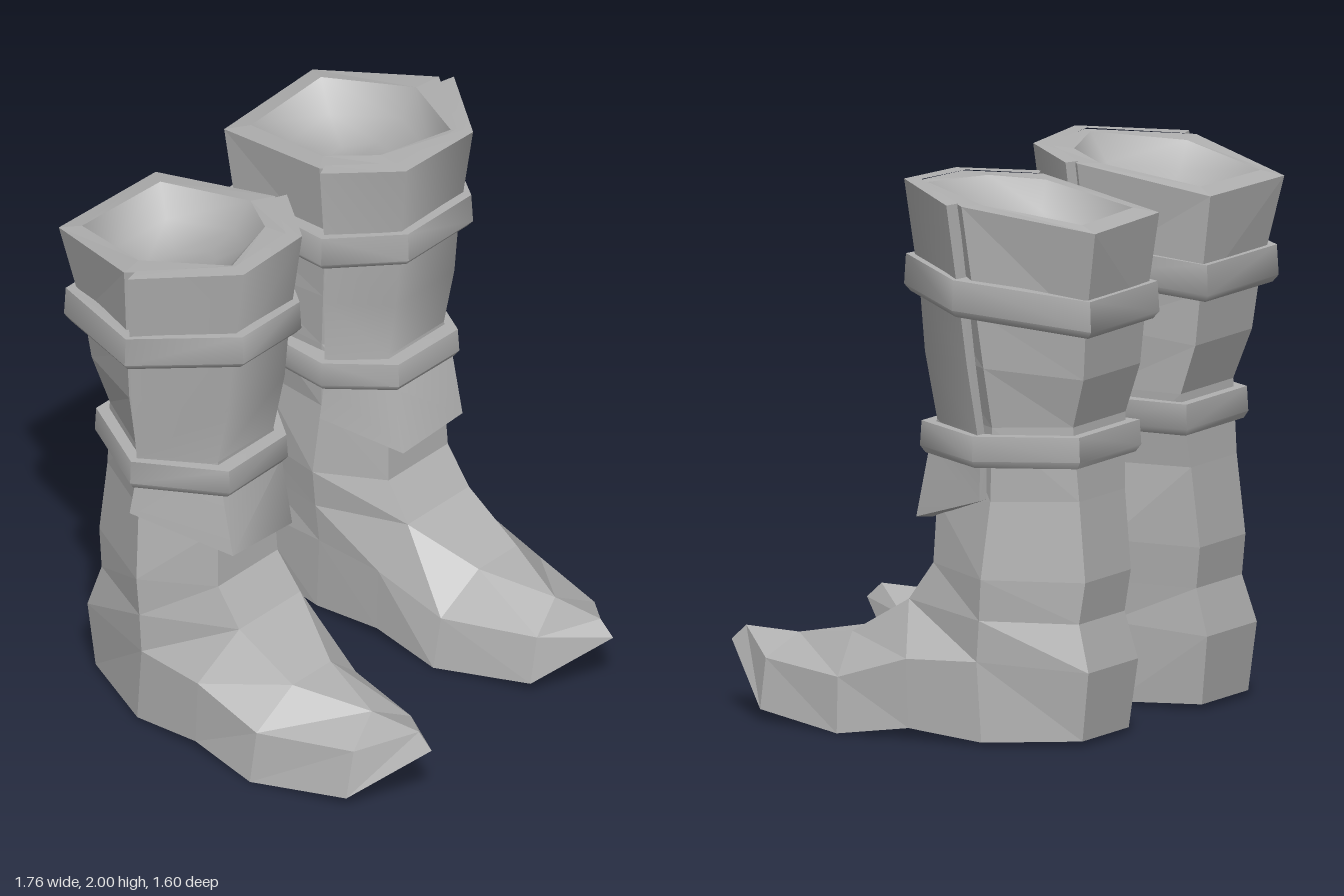
import * as THREE from 'three';
import { toCreasedNormals } from 'three/addons/utils/BufferGeometryUtils.js';

const leather = new THREE.MeshStandardMaterial({ color: 0xb0b0b0 });
leather.name = 'grey leather';

// Skin between successive rows of [x, y, z] points; crease 0 gives flat facets
function skin(grids, side, crease = 0) {
  const out = [];
  const tri = (a, b, c) => {
    const [A, B, C] = [a, b, c].map(p => new THREE.Vector3(p[0] * side, p[1], p[2]));
    if (B.clone().sub(A).cross(C.clone().sub(A)).length() < 1e-7) return;
    for (const p of side > 0 ? [A, B, C] : [A, C, B]) out.push(p.x, p.y, p.z);
  };
  for (const { rows, closed } of grids) {
    for (let i = 0; i + 1 < rows.length; i++) {
      const n = rows[i].length;
      for (let j = 0; j < (closed ? n : n - 1); j++) {
        const k = (j + 1) % n;
        const a = rows[i][j], b = rows[i][k], c = rows[i + 1][k], d = rows[i + 1][j];
        tri(a, d, c);
        tri(a, c, b);
      }
    }
  }
  const geo = new THREE.BufferGeometry();
  geo.setAttribute('position', new THREE.Float32BufferAttribute(out, 3));
  geo.computeVertexNormals();
  return crease ? toCreasedNormals(geo, crease) : geo;
}

const loop = (...rows) => ({ rows, closed: true });
const sheet = (...rows) => ({ rows, closed: false });

// Pull a ring towards the leg axis and shift it in height
const inset = (ring, s, dy = 0) =>
  ring.map(([x, y, z]) => [0.46 + (x - 0.46) * s, y + dy, -0.4 + (z + 0.4) * s]);

// --- Foot rings: back inner, back outer, round the toe, back along the inner side
const sole = [
  [0.265, 0.02, -0.7], [0.6, 0.02, -0.7], [0.75, 0.01, -0.37], [0.765, 0.04, -0.08],
  [0.79, 0, 0.2], [0.69, 0.04, 0.57], [0.49, 0.245, 0.8], [0.305, 0.04, 0.57],
  [0.2, 0, 0.2], [0.215, 0.04, -0.08], [0.22, 0.01, -0.37]];
const welt = [
  [0.25, 0.27, -0.73], [0.61, 0.27, -0.73], [0.75, 0.3, -0.35], [0.765, 0.29, -0.07],
  [0.765, 0.2, 0.21], [0.65, 0.22, 0.57], [0.49, 0.3, 0.74], [0.34, 0.22, 0.57],
  [0.23, 0.2, 0.21], [0.21, 0.29, -0.07], [0.21, 0.3, -0.35]];
const ridge = [0.495, 0.295, 0.52];
const instep = [
  [0.26, 0.44, -0.68], [0.59, 0.44, -0.68], [0.75, 0.45, -0.36], [0.62, 0.48, 0],
  [0.605, 0.34, 0.24], ridge, ridge, ridge, [0.4, 0.34, 0.24], [0.29, 0.48, 0], [0.2, 0.45, -0.36]];

// --- Leg rings: back inner, back outer, outer, front outer, front inner, inner
const leg = [
  [0, 1, 2, 3, 9, 10].map(i => instep[i]),
  [[0.25, 0.59, -0.7], [0.58, 0.59, -0.7], [0.755, 0.6, -0.37], [0.62, 0.62, -0.1], [0.3, 0.62, -0.1], [0.185, 0.6, -0.36]],
  [[0.24, 0.88, -0.67], [0.57, 0.88, -0.67], [0.72, 0.88, -0.39], [0.61, 0.85, -0.11], [0.31, 0.85, -0.11], [0.21, 0.88, -0.34]],
  [[0.2, 1.15, -0.65], [0.58, 1.15, -0.65], [0.725, 1.15, -0.4], [0.58, 1.15, -0.17], [0.33, 1.15, -0.17], [0.2, 1.15, -0.33]],
  [[0.2, 1.33, -0.71], [0.61, 1.33, -0.71], [0.77, 1.37, -0.39], [0.59, 1.38, -0.12], [0.32, 1.38, -0.12], [0.185, 1.37, -0.31]],
  [[0.2, 1.52, -0.73], [0.63, 1.52, -0.73], [0.8, 1.58, -0.375], [0.59, 1.59, -0.09], [0.32, 1.59, -0.09], [0.17, 1.58, -0.29]],
  [[0.185, 1.88, -0.78], [0.685, 1.88, -0.8], [0.85, 1.965, -0.345], [0.6, 1.995, -0.03], [0.3, 1.985, -0.04], [0.12, 1.965, -0.27]]];
const mouth = [[0.245, 1.9, -0.705], [0.645, 1.9, -0.725], [0.75, 1.96, -0.365],
  [0.59, 1.99, -0.06], [0.31, 1.98, -0.15], [0.195, 1.96, -0.32]];

// --- Front panel rows: outer, front outer, front inner, inner
const panel = [
  [[0.78, 0.89, -0.38], [0.62, 0.78, -0.03], [0.3, 0.765, -0.03], [0.155, 0.87, -0.3]],
  [[0.76, 1.02, -0.37], [0.62, 1.02, -0.08], [0.3, 1.02, -0.08], [0.17, 1.02, -0.29]],
  [[0.765, 1.14, -0.36], [0.61, 1.14, -0.11], [0.31, 1.14, -0.11], [0.16, 1.14, -0.28]],
  [[0.81, 1.38, -0.345], [0.61, 1.38, -0.06], [0.3, 1.38, -0.065], [0.145, 1.38, -0.27]],
  [[0.835, 1.59, -0.33], [0.61, 1.6, -0.04], [0.3, 1.6, -0.045], [0.14, 1.58, -0.26]],
  [[0.88, 1.97, -0.3], [0.62, 2, 0.02], [0.28, 1.99, 0], [0.09, 1.97, -0.24]]];
const column = j => panel.map(row => row[j]);
const panelEdge = [...panel[5], ...column(3).reverse(), ...panel[0].slice().reverse(), ...column(0)];

// --- Straps: lower outer edge of each ring and its height
const straps = {
  ankleStrap: { height: 0.09, ring: [[0.165, 1.03, -0.695], [0.61, 1.03, -0.695], [0.8, 1.035, -0.36],
    [0.62, 1.04, -0.045], [0.3, 1.04, -0.05], [0.13, 1.035, -0.27]] },
  kneeStrap: { height: 0.11, ring: [[0.175, 1.52, -0.775], [0.68, 1.52, -0.78], [0.875, 1.59, -0.32],
    [0.62, 1.62, 0.02], [0.29, 1.605, 0.005], [0.095, 1.575, -0.24]] }
};

function buildBoot(side) {
  const boot = new THREE.Group();
  const add = (name, geo) => {
    const mesh = new THREE.Mesh(geo, leather);
    mesh.name = name;
    boot.add(mesh);
  };

  // Foot sides, underside and top of the instep
  add('foot', skin([
    loop(sole, welt, instep),
    sheet([sole[1], sole[0]], ...[[2, 10], [3, 9], [4, 8], [5, 7], [6, 6]].map(p => p.map(i => sole[i]))),
    sheet([instep[9], instep[3]], [instep[8], instep[4]], [ridge, ridge])
  ], side));

  // Shaft with its flat rim
  add('shaft', skin([loop(...leg), loop(leg[6], mouth)], side));

  // Smooth hollow inside the mouth
  const floor = inset(mouth, 0, -0.18).map(([x, , z]) => [x, 1.78, z]);
  add('lining', skin([loop(mouth, inset(mouth, 0.75, -0.1), inset(mouth, 0.4, -0.16), floor)], side, Math.PI));

  // Overlapping front panel with thick edges
  add('frontPanel', skin([sheet(...panel), loop(panelEdge, inset(panelEdge, 0.86))], side, 1.05));

  // Strap bands with bevelled lower edges
  for (const [name, { ring, height }] of Object.entries(straps)) {
    const top = inset(ring, 0.985, height);
    add(name, skin([loop(inset(ring, 0.8, -0.02), inset(ring, 0.95, -0.025), ring, top, inset(top, 0.8))], side, 1.05));
  }
  return boot;
}

export function createModel() {
  const model = new THREE.Group();
  model.name = 'boots';
  for (const [name, side] of [['leftBoot', 1], ['rightBoot', -1]]) {
    const boot = buildBoot(side);
    boot.name = name;
    model.add(boot);
  }
  return model;
}
